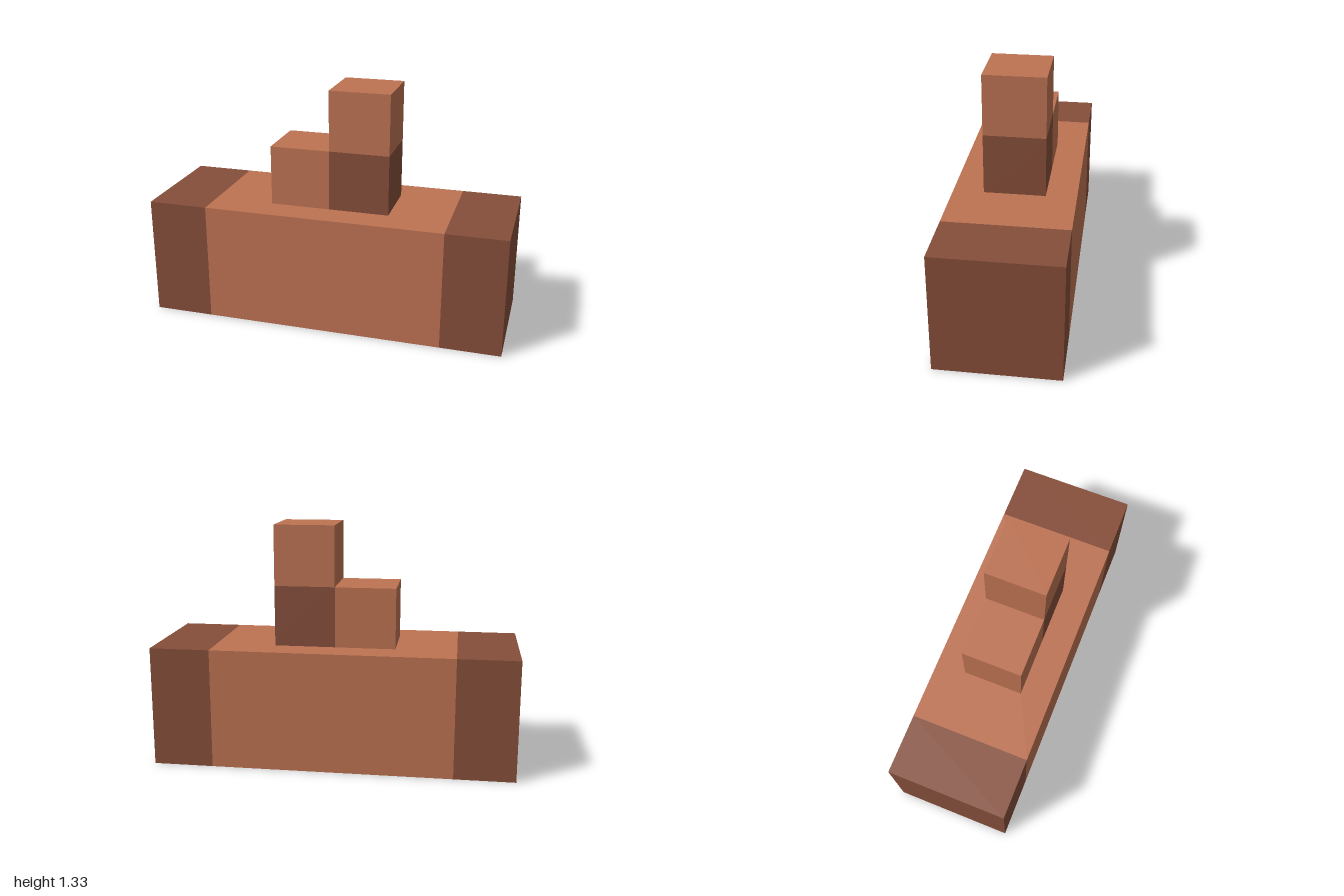
import * as THREE from 'three';

export function createModel() {
  const clay = new THREE.MeshStandardMaterial({ color: 0xbd7252 });
  clay.name = 'light clay';
  const brown = new THREE.MeshStandardMaterial({ color: 0x864e3a });
  brown.name = 'dark brown';

  const model = new THREE.Group();
  model.name = 'blockModel';
  const U = 1 / 3; // block unit

  // Box given by its size and base centre, in block units
  function block(name, material, w, h, d, x, y) {
    const mesh = new THREE.Mesh(new THREE.BoxGeometry(w * U, h * U, d * U), material);
    mesh.name = name;
    mesh.position.set(x * U, (y + h / 2) * U, 0);
    model.add(mesh);
  }

  // Long body with a dark cap at each end
  block('body', clay, 4, 2, 2, 0, 0);
  block('leftEndCap', brown, 1, 2, 2, 2.5, 0);
  block('rightEndCap', brown, 1, 2, 2, -2.5, 0);

  // Stepped top: low block beside a two-tone post
  block('lowBlock', clay, 1, 1, 1, -0.5, 2);
  block('postBase', brown, 1, 1, 1, 0.5, 2);
  block('postTop', clay, 1, 1, 1, 0.5, 3);

  return model;
}
